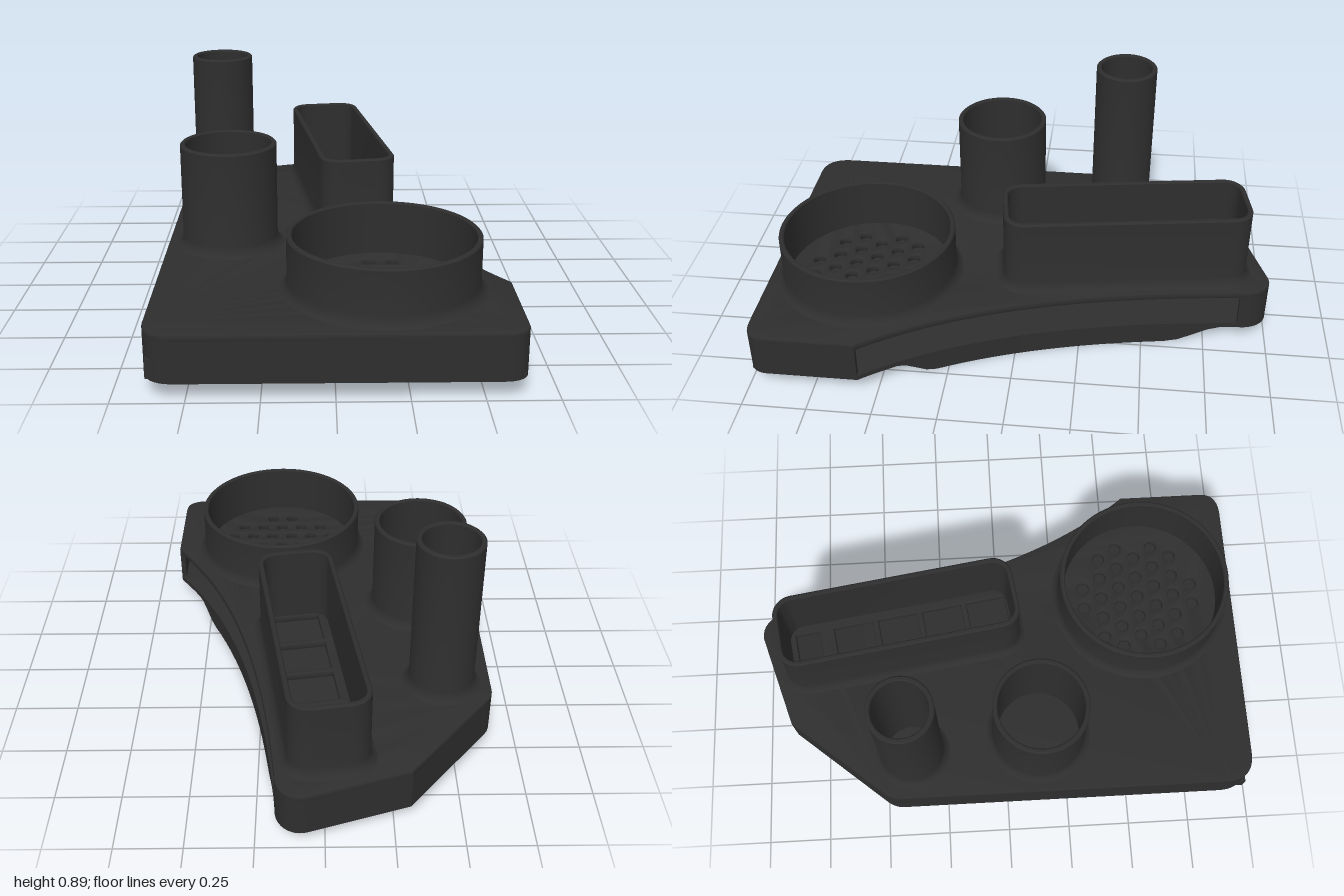
import * as THREE from 'three';
import { toCreasedNormals } from 'three/addons/utils/BufferGeometryUtils.js';

// Plan coordinates are (x, -z), counter-clockwise seen from above.
const V2 = (x, z) => new THREE.Vector2(x, -z);
const at = (p, y) => new THREE.Vector3(p.x, y, -p.y);

// Skin through closed cross-sections with equal point counts.
function loft(rings, capEnds = false) {
  const n = rings[0].length, pos = [], idx = [];
  rings.forEach(r => r.forEach(p => pos.push(p.x, p.y, p.z)));
  for (let i = 0; i < rings.length - 1; i++) {
    for (let j = 0; j < n; j++) {
      const a = i * n + j, b = i * n + (j + 1) % n;
      idx.push(a, b, b + n, a, b + n, a + n);
    }
  }
  if (capEnds) {
    const e = (rings.length - 1) * n;
    for (let j = 1; j < n - 1; j++) idx.push(0, j + 1, j, e, e + j, e + j + 1);
  }
  const g = new THREE.BufferGeometry();
  g.setAttribute('position', new THREE.Float32BufferAttribute(pos, 3));
  g.setIndex(idx);
  return toCreasedNormals(g, 0.6);
}

// Horizontal slab between two heights.
function slab(shape, y0, y1, bevel = 0) {
  const g = new THREE.ExtrudeGeometry(shape, {
    depth: y1 - y0 - 2 * bevel, bevelEnabled: bevel > 0, bevelThickness: bevel,
    bevelSize: bevel, bevelOffset: -bevel, bevelSegments: 2, curveSegments: 24,
  });
  g.rotateX(-Math.PI / 2).translate(0, y0 + bevel, 0);
  return toCreasedNormals(g, 0.5);
}

// Shift a path to its left (inwards).
function inset(points, d) {
  return points.map((p, i) => {
    const a = points[Math.max(i - 1, 0)], b = points[Math.min(i + 1, points.length - 1)];
    const t = b.clone().sub(a).normalize();
    return new THREE.Vector2(p.x - t.y * d, p.y + t.x * d);
  });
}

function circle(cx, cz, r, n = 64) {
  return Array.from({ length: n }, (_, i) => {
    const a = i / n * Math.PI * 2;
    return V2(cx + r * Math.cos(a), cz - r * Math.sin(a));
  });
}

// Tilted frame of the long holder
const TILT = 0.148, HOLDER = V2(0.045, -0.41);
const tilted = p => p.rotateAround(new THREE.Vector2(), TILT).add(HOLDER);

function roundedRect(w, l, r) {
  const pts = [], seg = 8;
  [[1, 1], [-1, 1], [-1, -1], [1, -1]].forEach(([sx, sy], k) => {
    for (let i = 0; i <= seg; i++) {
      const a = (k + i / seg) * Math.PI / 2;
      pts.push(tilted(new THREE.Vector2(sx * (w / 2 - r) + r * Math.cos(a), sy * (l / 2 - r) + r * Math.sin(a))));
    }
  });
  return pts;
}

// Thin-walled open vessel with a flared foot; ring(d) is the outline grown by d.
function vessel(ring, top) {
  const profile = [[0.034, 0.24], [0.016, 0.25], [0.005, 0.265], [0, 0.285], [0, top - 0.006],
    [-0.006, top], [-0.016, top], [-0.02, top - 0.005], [-0.02, 0.235]];
  return loft(profile.map(([d, y]) => ring(d).map(p => at(p, y))));
}

export function createModel() {
  const group = new THREE.Group();
  const charcoal = new THREE.MeshStandardMaterial({ color: 0x2e2e2e });
  charcoal.name = 'charcoal';
  const add = (name, geometry) => {
    const m = new THREE.Mesh(geometry, charcoal);
    m.name = name;
    group.add(m);
  };

  // Plan: concave open side first, then the walled sides
  const N = 32;
  const edge = new THREE.QuadraticBezierCurve(V2(0.645, 0.57), V2(0.27, 0.08), V2(0.18, -0.88)).getPoints(N);
  const walled = new THREE.Path();
  walled.moveTo(0.18, 0.88);
  walled.bezierCurveTo(0.185, 0.96, 0.12, 1.02, 0.05, 0.99);
  walled.lineTo(-0.31, 0.875);
  walled.lineTo(-0.62, 0.5);
  walled.quadraticCurveTo(-0.645, 0.47, -0.645, 0.43);
  walled.lineTo(-0.645, -0.88);
  walled.quadraticCurveTo(-0.645, -1, -0.53, -1);
  walled.lineTo(0.55, -1);
  walled.quadraticCurveTo(0.645, -1, 0.645, -0.92);
  walled.lineTo(0.645, -0.57);
  const wall = walled.getPoints(10);
  const outline = [...edge, ...wall.slice(1, -1)];

  // Top plate with drain holes and slots
  const plate = new THREE.Shape(outline);
  const rows = [2, 5, 6, 5, 6, 5, 2];
  rows.forEach((count, r) => {
    for (let i = 0; i < count; i++) {
      const x = 0.18 + (i - (count - 1) / 2) * 0.089, z = 0.6 + (r - 3) * 0.077;
      plate.holes.push(new THREE.Path(circle(x, z, 0.024, 20)));
    }
  });
  [[-0.39, 0.1], [-0.195, 0.165], [-0.005, 0.165], [0.185, 0.165], [0.375, 0.165]].forEach(([v, len]) => {
    const w = 0.095, h = len / 2;
    const corners = [[-w, -h], [w, -h], [w, h], [-w, h]];
    plate.holes.push(new THREE.Path(corners.map(([x, y]) => tilted(new THREE.Vector2(x, y - v)))));
  });
  add('topPlate', slab(plate, 0.215, 0.245, 0.008));

  // Floor and outer wall, open along the concave side
  add('bottomPlate', slab(new THREE.Shape(outline), 0.07, 0.088));
  add('sideWall', slab(new THREE.Shape([...wall, ...inset(wall, 0.02).reverse()]), 0.07, 0.236));

  // Sloping floor inside that drains to the open side
  const farX = z => z > -0.47 ? -0.63 : z > -0.875
    ? THREE.MathUtils.mapLinear(z, -0.47, -0.875, -0.63, -0.3)
    : THREE.MathUtils.mapLinear(z, -0.875, -0.99, -0.3, 0.05);
  const drainPath = [...edge.slice().reverse(), V2(0.63, 0.58), V2(0.63, 0.98)];
  add('drainSlope', loft(drainPath.map(p => {
    const far = new THREE.Vector2(farX(-p.y), p.y);
    return [at(p, 0.08), at(p, 0.09), at(far, 0.15), at(far, 0.08)];
  }), true));

  // Drip lip hanging under the open edge
  const inner = inset(edge, 0.02);
  const lip = [];
  for (let i = N; i >= 0; i--) {
    const z = -edge[i].y;
    if (z > 0.46 || z < -0.85) continue;
    const drop = Math.min(THREE.MathUtils.smoothstep(-z, -0.44, -0.3), THREE.MathUtils.smoothstep(z, -0.83, -0.6));
    const y = 0.072 - 0.072 * drop;
    lip.push([at(edge[i], y), at(edge[i], 0.09), at(inner[i], 0.09), at(inner[i], y)]);
  }
  add('dripLip', loft(lip, true));

  // Vessels
  add('tallCup', vessel(d => circle(-0.455, -0.38, 0.125 + d), 0.892));
  add('mediumCup', vessel(d => circle(-0.4, 0.135, 0.186 + d), 0.652));
  add('wideStrainerCup', vessel(d => circle(0.178, 0.605, 0.347 + d, 96), 0.45));
  add('longHolder', vessel(d => roundedRect(0.3 + 2 * d, 0.97 + 2 * d, 0.08 + d), 0.556));

  return group;
}
